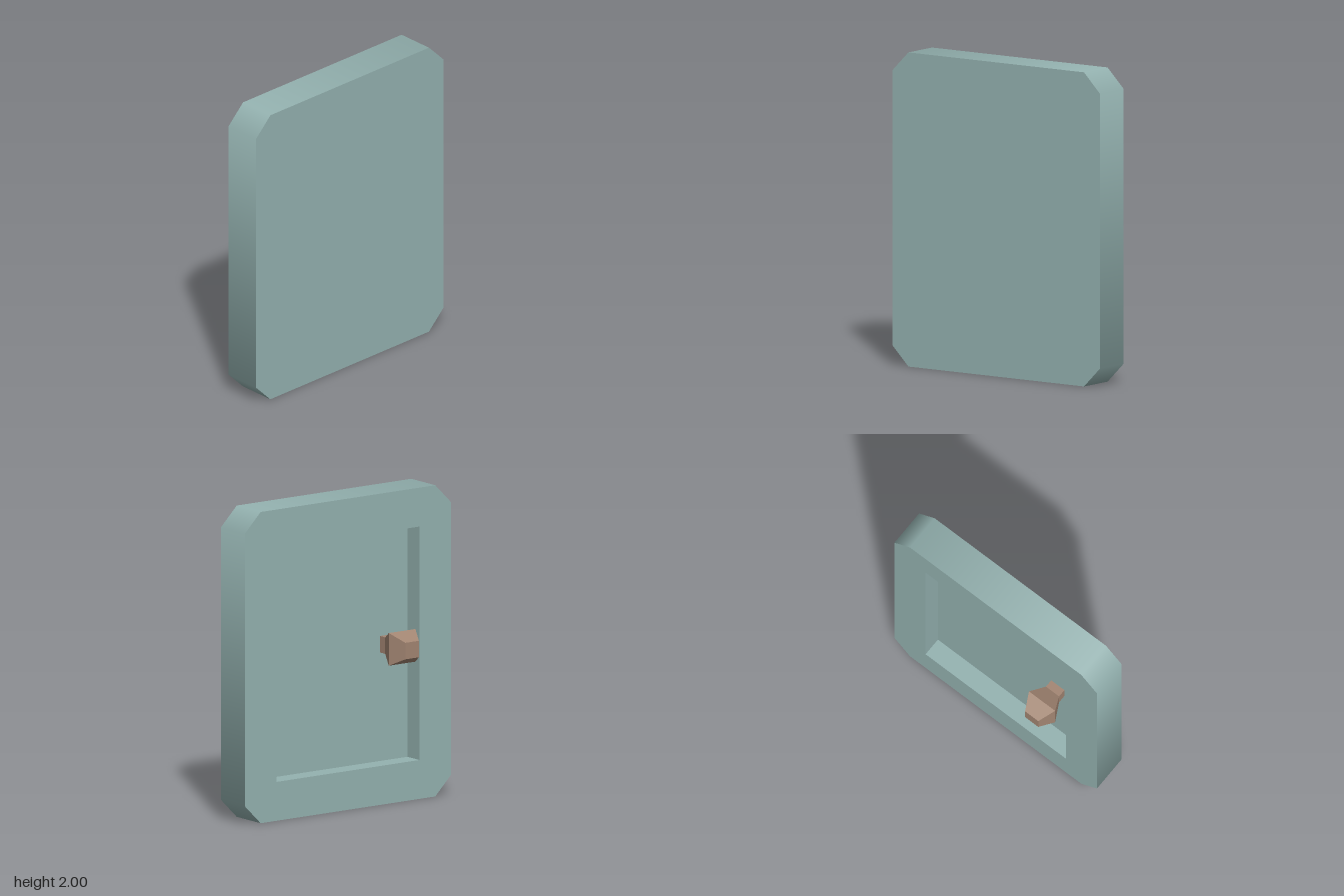
import * as THREE from 'three';

const HALF_W = 0.8125, HALF_H = 1, CHAMFER = 0.125; // slab outline
const REC_W = 0.5625, REC_H = 0.75;                 // recess half sizes
const FRONT = 0.055, FLOOR = -0.07, BACK = -0.195;  // depths along the local z axis

// Rectangle with cut corners
function slabShape() {
  const w = HALF_W, h = HALF_H, c = CHAMFER;
  return new THREE.Shape([
    [w, c - h], [w, h - c], [w - c, h], [c - w, h],
    [-w, h - c], [-w, c - h], [c - w, -h], [w - c, -h],
  ].map(([x, y]) => new THREE.Vector2(x, y)));
}

export function createModel() {
  const teal = new THREE.MeshStandardMaterial({ color: 0x94b2b0 });
  teal.name = 'pale teal';
  const brown = new THREE.MeshStandardMaterial({ color: 0xa28572 });
  brown.name = 'dusty brown';

  // Built facing local +z, then turned to face -x
  const door = new THREE.Group();
  door.name = 'door';
  const add = (name, geometry, material) => {
    const mesh = new THREE.Mesh(geometry, material);
    mesh.name = name;
    door.add(mesh);
    return mesh;
  };

  // Outer rim: eight-sided tube with smooth normals, stretched to the slab outline
  const rim = new THREE.CylinderGeometry(1, 1, FRONT - BACK, 8, 1, true, Math.PI / 8);
  rim.rotateX(Math.PI / 2).translate(0, 0, (FRONT + BACK) / 2);
  const p = rim.attributes.position;
  for (let i = 0; i < p.count; i++) {
    const x = p.getX(i), y = p.getY(i), side = Math.abs(x) > Math.abs(y);
    p.setX(i, Math.sign(x) * (side ? HALF_W : HALF_W - CHAMFER));
    p.setY(i, Math.sign(y) * (side ? HALF_H - CHAMFER : HALF_H));
  }
  add('rim', rim, teal);

  // Flat back, and front frame around the recess
  add('backFace', new THREE.ShapeGeometry(slabShape()).rotateY(Math.PI).translate(0, 0, BACK), teal);
  const frame = slabShape();
  frame.holes.push(new THREE.Path([
    new THREE.Vector2(-REC_W, -REC_H), new THREE.Vector2(-REC_W, REC_H),
    new THREE.Vector2(REC_W, REC_H), new THREE.Vector2(REC_W, -REC_H),
  ]));
  add('frontFrame', new THREE.ShapeGeometry(frame).translate(0, 0, FRONT), teal);

  // Recess floor and its four walls, facing inward
  add('recessFloor', new THREE.PlaneGeometry(2 * REC_W, 2 * REC_H).translate(0, 0, FLOOR), teal);
  for (let i = 0; i < 4; i++) {
    const [length, offset] = i % 2 ? [2 * REC_H, REC_W] : [2 * REC_W, REC_H];
    const wall = new THREE.PlaneGeometry(length, FRONT - FLOOR)
      .rotateX(Math.PI / 2)
      .translate(0, offset, (FRONT + FLOOR) / 2)
      .rotateZ(i * Math.PI / 2);
    add('recessWall', wall, teal);
  }

  // Square faceted knob: straight neck, flare, taper and flat end
  const profile = [[0.053, FLOOR], [0.053, -0.016], [0.105, 0.09], [0.053, 0.195], [0, 0.195]]
    .map(([half, z]) => new THREE.Vector2(half * Math.SQRT2, z));
  const knob = new THREE.LatheGeometry(profile, 4, Math.PI / 4).rotateX(Math.PI / 2).toNonIndexed();
  knob.computeVertexNormals();
  add('knob', knob, brown).position.set(0.4, 0, 0);

  door.rotation.y = -Math.PI / 2;
  door.position.y = HALF_H;
  const model = new THREE.Group();
  model.name = 'doorModel';
  model.add(door);
  return model;
}
